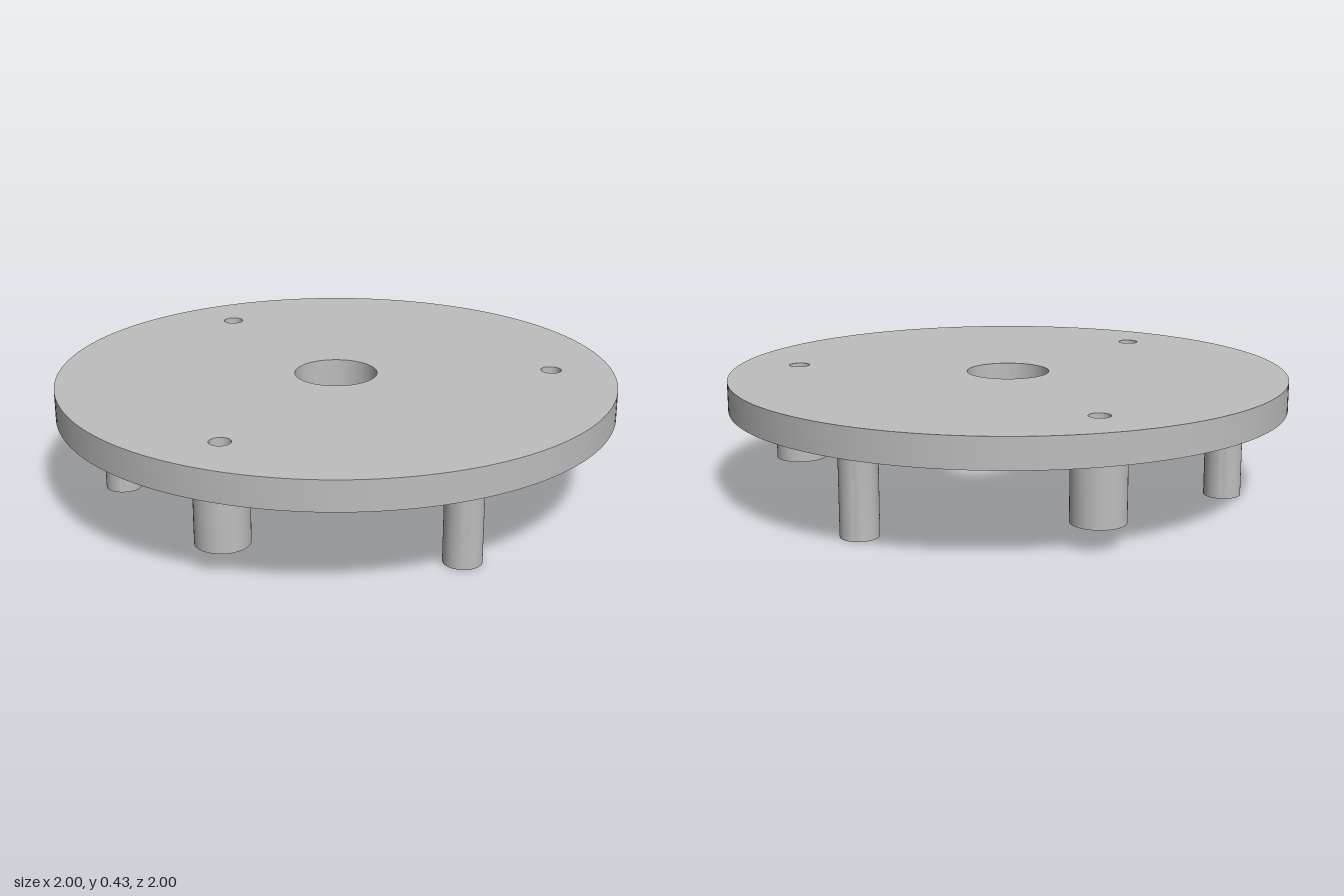
import * as THREE from 'three';
import { toCreasedNormals } from 'three/addons/utils/BufferGeometryUtils.js';

const TOP = 0.43, UNDER = 0.325;          // plate faces
const RING = 0.78, HOLE = 0.037;          // bolt circle and screw hole radii
const BOSS_FOOT = 0.083, LEDGE = 0.145;   // boss underside and counterbore floor
const PIN = 0.066, FILLET = 0.06;

const onRing = (deg) => {
  const a = THREE.MathUtils.degToRad(deg);
  return [RING * Math.cos(a), RING * Math.sin(a)];
};

const lathe = (profile) => toCreasedNormals(
  new THREE.LatheGeometry(profile.map(([r, y]) => new THREE.Vector2(r, y)), 48), 0.6);

export function createModel() {
  const group = new THREE.Group();
  const grey = new THREE.MeshStandardMaterial({ color: 0xbebebe });
  grey.name = 'grey';

  const add = (name, geometry, x = 0, z = 0) => {
    const mesh = new THREE.Mesh(geometry, grey);
    mesh.name = name;
    mesh.position.set(x, 0, z);
    group.add(mesh);
  };

  // Round plate with a centre hole and three screw holes
  const disc = new THREE.Shape().absarc(0, 0, 1, 0, Math.PI * 2);
  const cut = (x, y, r) => disc.holes.push(new THREE.Path().absarc(x, y, r, 0, Math.PI * 2, true));
  cut(0, 0, 0.148);
  for (const deg of [0, 120, 240]) cut(...onRing(deg), HOLE);
  const plate = new THREE.ExtrudeGeometry(disc, {
    depth: TOP - UNDER, bevelEnabled: false, curveSegments: 96,
  });
  plate.rotateX(-Math.PI / 2).translate(0, UNDER, 0);
  add('plate', toCreasedNormals(plate, 0.6));

  // Hollow bosses, counterbored from below
  const boss = lathe([
    [HOLE, UNDER], [HOLE, LEDGE], [0.072, LEDGE], [0.072, BOSS_FOOT],
    [0.093, BOSS_FOOT], [0.093, UNDER],
  ]);
  for (const deg of [0, 120, 240]) add('screwBoss', boss, ...onRing(deg));

  // Solid pins that flare into the plate
  const profile = [[0, 0], [PIN, 0]];
  for (let i = 0; i <= 10; i++) {
    const a = (i / 10) * Math.PI / 2;
    profile.push([PIN + FILLET * (1 - Math.cos(a)), UNDER - FILLET * (1 - Math.sin(a))]);
  }
  const pin = lathe(profile);
  for (const deg of [60, 180, 300]) add('locatingPin', pin, ...onRing(deg));

  return group;
}
